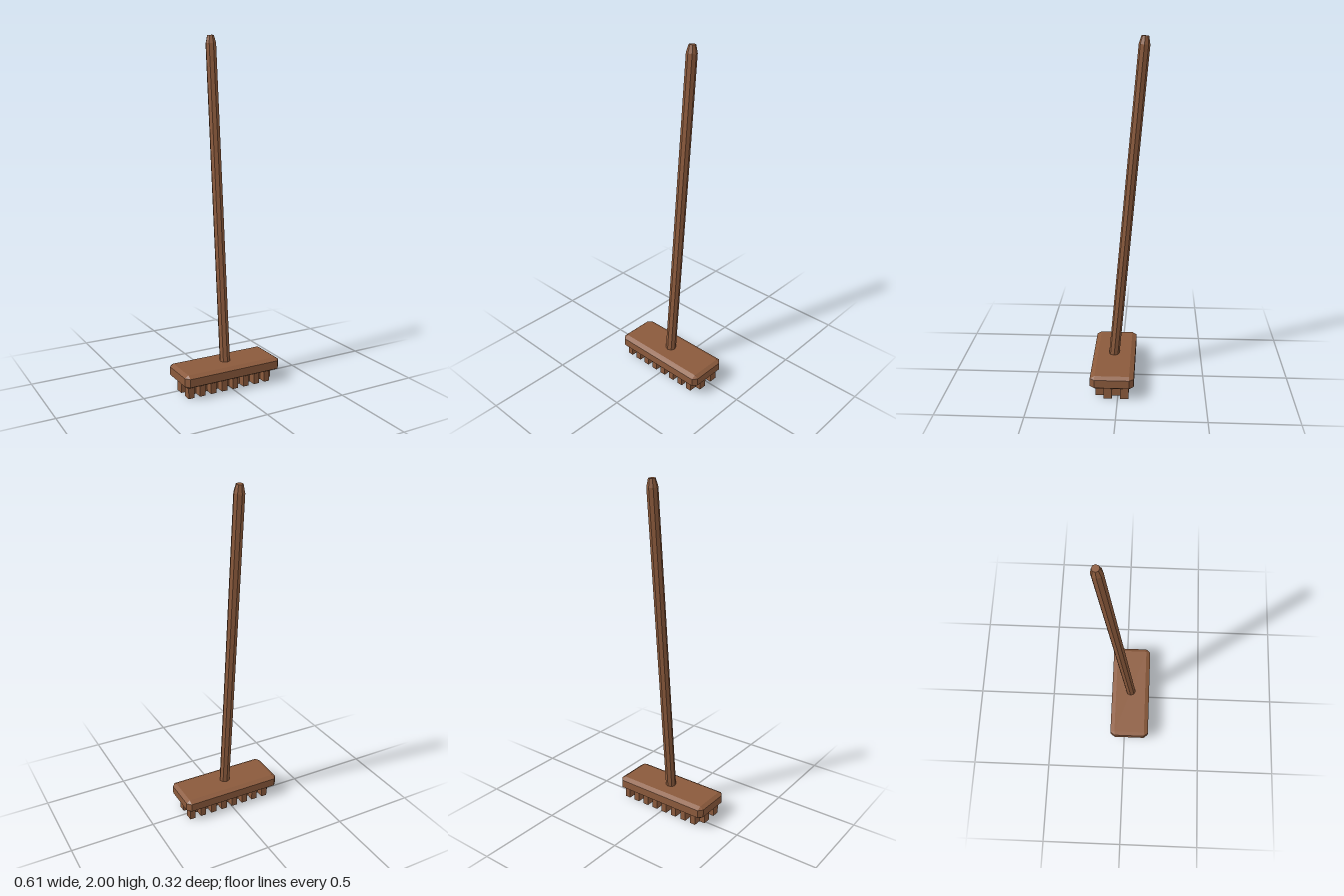
import * as THREE from 'three';
import { ConvexGeometry } from 'three/addons/geometries/ConvexGeometry.js';

const wood = new THREE.MeshStandardMaterial({ color: 0x8b5a3c, flatShading: true });

// Box with every edge and corner chamfered by (cx, cy, cz)
function chamferedBox(w, h, d, cx, cy, cz) {
  const points = [];
  for (const sx of [-1, 1]) for (const sy of [-1, 1]) for (const sz of [-1, 1]) {
    const x = w / 2, y = h / 2, z = d / 2;
    points.push(
      new THREE.Vector3(sx * x, sy * (y - cy), sz * (z - cz)),
      new THREE.Vector3(sx * (x - cx), sy * y, sz * (z - cz)),
      new THREE.Vector3(sx * (x - cx), sy * (y - cy), sz * z));
  }
  return new ConvexGeometry(points);
}

export function createModel() {
  const model = new THREE.Group();
  model.name = 'broom';
  const centreZ = 0.033;

  // Broom head
  const head = new THREE.Mesh(chamferedBox(0.614, 0.078, 0.25, 0.022, 0.015, 0.027), wood);
  head.name = 'head';
  head.position.set(0, 0.103, centreZ);
  model.add(head);

  // Bristle blocks in a checkerboard under the head
  const bristles = new THREE.Group();
  bristles.name = 'bristles';
  const columns = 16, rows = 4, stepX = 0.0354, stepZ = 0.0478, height = 0.07;
  const block = new THREE.BoxGeometry(stepX, height, stepZ);
  for (let r = 0; r < rows; r++) {
    for (let c = r % 2; c < columns; c += 2) {
      const bristle = new THREE.Mesh(block, wood);
      bristle.name = 'bristle';
      bristle.position.set(
        (c - (columns - 1) / 2) * stepX,
        height / 2,
        centreZ + ((rows - 1) / 2 - r) * stepZ);
      bristles.add(bristle);
    }
  }
  model.add(bristles);

  // Eight-sided handle with a tapered tip, leaning back
  const lean = Math.atan2(0.168, 1.858);
  const length = 1.9, tip = 0.045;
  const profile = [[0, 0], [0.031, 0], [0.031, length - tip], [0.02, length], [0, length]]
    .map(([r, y]) => new THREE.Vector2(r, y));
  const handle = new THREE.Mesh(new THREE.LatheGeometry(profile, 8), wood);
  handle.name = 'handle';
  handle.rotation.x = -lean;
  handle.position.set(0, 1.998 - length * Math.cos(lean), -0.134 + length * Math.sin(lean));
  model.add(handle);

  return model;
}
